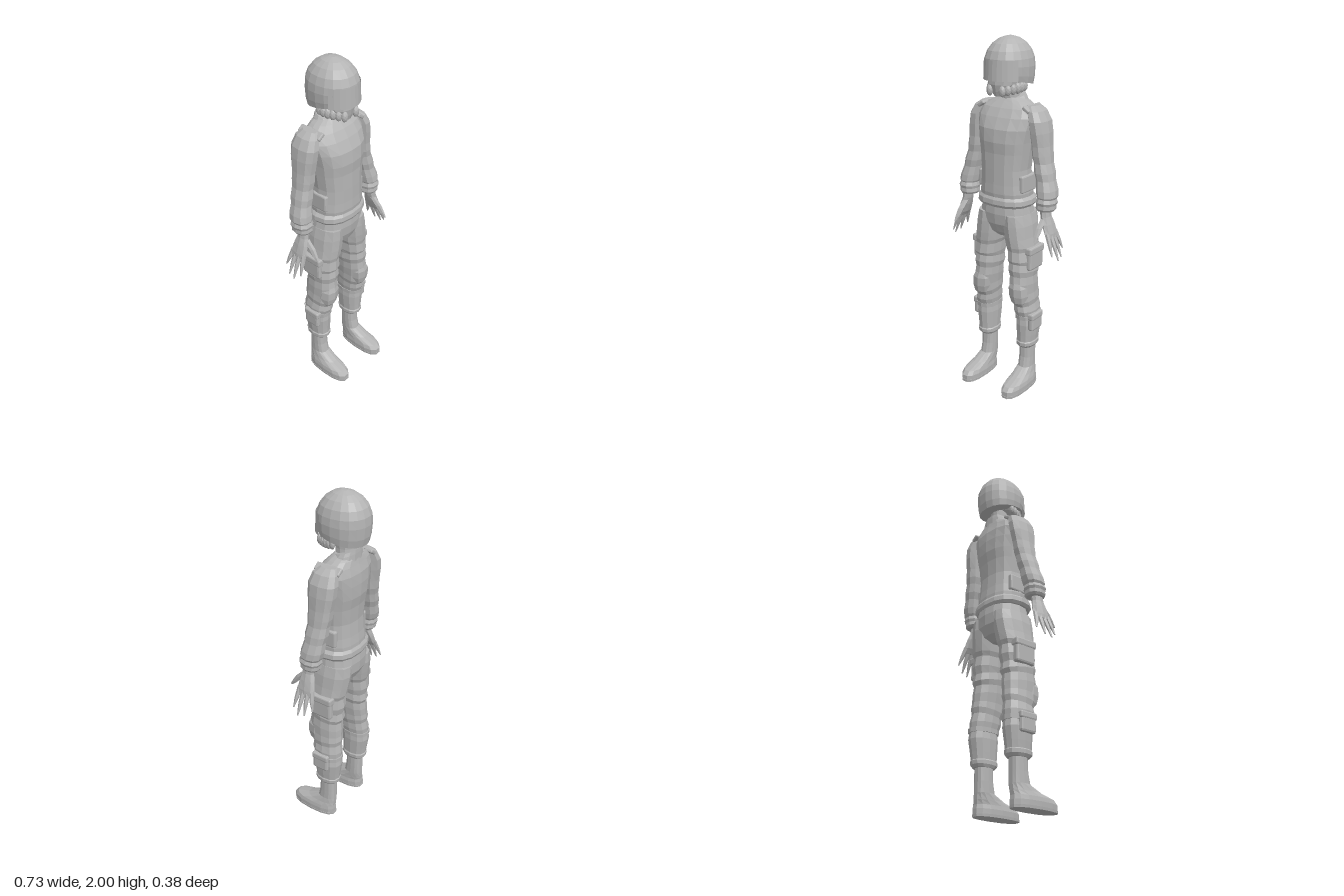
import * as THREE from 'three';
import { RoundedBoxGeometry } from 'three/addons/geometries/RoundedBoxGeometry.js';

const grey = new THREE.MeshStandardMaterial({ color: 0xb4b4b4, flatShading: true });
grey.name = 'plain grey';
const greyShell = new THREE.MeshStandardMaterial({ color: 0xb4b4b4, flatShading: true, side: THREE.DoubleSide });
greyShell.name = 'plain grey shell';

// Closed skin over horizontal rings: [y, centre x, centre z, half width, half depth, slope of ring towards z]
function loft(rings, sides = 12, square = 2.3) {
  const rows = [...rings].sort((a, b) => a[0] - b[0]);
  const pos = [], idx = [];
  const round = v => Math.sign(v) * Math.pow(Math.abs(v), 2 / square);
  for (const [y, x, z, rx, rz, slope = 0] of rows) {
    for (let j = 0; j < sides; j++) {
      const a = (j / sides) * Math.PI * 2;
      const dz = rz * round(Math.sin(a));
      pos.push(x + rx * round(Math.cos(a)), y + slope * dz, z + dz);
    }
  }
  const last = rows.length - 1;
  for (let i = 0; i < last; i++) {
    for (let j = 0; j < sides; j++) {
      const k = (j + 1) % sides, a = i * sides + j, b = i * sides + k;
      idx.push(a, a + sides, b + sides, a, b + sides, b);
    }
  }
  // end caps
  for (const [i, up] of [[0, false], [last, true]]) {
    const c = pos.length / 3, [y, x, z] = rows[i];
    pos.push(x, y, z);
    for (let j = 0; j < sides; j++) {
      const a = i * sides + j, b = i * sides + (j + 1) % sides;
      if (up) idx.push(c, b, a); else idx.push(c, a, b);
    }
  }
  const g = new THREE.BufferGeometry();
  g.setAttribute('position', new THREE.Float32BufferAttribute(pos, 3));
  g.setIndex(idx);
  const flat = g.toNonIndexed();
  flat.computeVertexNormals();
  return flat;
}

export function createModel() {
  const model = new THREE.Group();
  const add = (name, geometry, x = 0, y = 0, z = 0, material = grey) => {
    const m = new THREE.Mesh(geometry, material);
    m.name = name;
    m.position.set(x, y, z);
    model.add(m);
    return m;
  };

  // Jacket
  add('jacket', loft([
    [1.14, 0, -0.035, 0.145, 0.12], [1.18, 0, -0.032, 0.148, 0.122], [1.23, 0, -0.03, 0.142, 0.118],
    [1.31, 0, -0.028, 0.138, 0.115], [1.4, 0, -0.032, 0.148, 0.117], [1.46, 0, -0.035, 0.155, 0.125],
    [1.53, 0, -0.04, 0.168, 0.122], [1.59, 0, -0.052, 0.178, 0.106], [1.635, 0, -0.06, 0.165, 0.085],
    [1.665, 0, -0.07, 0.115, 0.068], [1.685, 0, -0.075, 0.07, 0.055]], 16, 2.4));
  add('jacketHem', loft([
    [1.105, 0, -0.035, 0.155, 0.125], [1.12, 0, -0.035, 0.166, 0.133], [1.145, 0, -0.035, 0.164, 0.131],
    [1.16, 0, -0.035, 0.148, 0.122]], 16, 2.4));
  add('collar', loft([
    [1.64, 0, -0.07, 0.105, 0.07, -0.25], [1.675, 0, -0.075, 0.088, 0.063, -0.3],
    [1.695, 0, -0.08, 0.075, 0.056, -0.3], [1.675, 0, -0.08, 0.065, 0.045, -0.3]].slice(0, 3), 14));

  // Hips
  add('hips', loft([
    [0.92, 0, -0.035, 0.04, 0.06], [0.95, 0, -0.04, 0.11, 0.095], [1.0, 0, -0.042, 0.155, 0.118],
    [1.06, 0, -0.04, 0.152, 0.124], [1.13, 0, -0.038, 0.14, 0.118]], 16));

  // Head, neck and helmet
  add('neck', loft([[1.64, 0, -0.07, 0.055, 0.052], [1.71, 0, -0.062, 0.05, 0.05], [1.79, 0, -0.05, 0.056, 0.06]]));
  add('face', loft([
    [1.7, 0, 0.03, 0.028, 0.03], [1.725, 0, 0.012, 0.058, 0.056], [1.76, 0, -0.01, 0.085, 0.085],
    [1.82, 0, -0.03, 0.1, 0.1]]));
  add('helmet', loft([
    [1.766, 0, -0.053, 0.117, 0.127, 0.19], [1.8, 0, -0.053, 0.123, 0.137, 0.12],
    [1.85, 0, -0.053, 0.125, 0.142, 0.04], [1.89, 0, -0.053, 0.12, 0.139],
    [1.93, 0, -0.053, 0.106, 0.124], [1.965, 0, -0.053, 0.08, 0.096],
    [1.988, 0, -0.053, 0.05, 0.06], [2.0, 0, -0.053, 0.014, 0.018]], 18, 2.2));
  const visor = add('visor', new THREE.CylinderGeometry(0.97, 1, 0.105, 10, 2, true, -1.05, 2.1), 0, 1.835, -0.053, greyShell);
  visor.scale.set(0.13, 1, 0.152);

  for (const s of [1, -1]) {
    const part = (name, rings, sides, square) =>
      add(name, loft(rings.map(([y, x, ...r]) => [y, x * s, ...r]), sides, square));

    // Ribbed rolls along the jaw
    for (let i = 0; i < 6; i++) {
      const t = i / 5;
      const roll = add('jawRoll', new THREE.IcosahedronGeometry(0.021, 1),
        s * (0.04 + 0.058 * Math.sin(t * 1.6)), 1.73 + 0.022 * t, 0.066 - 0.115 * t);
      roll.scale.set(0.9, 1.4, 0.75);
      roll.rotation.y = s * t * 1.2;
    }

    // Shoulder strap
    const strap = add('shoulderStrap', new RoundedBoxGeometry(0.045, 0.02, 0.15, 1, 0.006), s * 0.148, 1.638, -0.062);
    strap.rotation.z = -s * 0.6;

    // Sleeve with folds, then the cuff
    part('sleeve', [
      [1.655, 0.15, -0.065, 0.025, 0.045], [1.63, 0.172, -0.063, 0.04, 0.07], [1.58, 0.193, -0.062, 0.047, 0.083],
      [1.52, 0.203, -0.062, 0.048, 0.08], [1.45, 0.21, -0.06, 0.047, 0.07], [1.4, 0.216, -0.058, 0.049, 0.068],
      [1.36, 0.224, -0.056, 0.046, 0.061], [1.31, 0.236, -0.052, 0.051, 0.064], [1.27, 0.246, -0.048, 0.048, 0.058],
      [1.22, 0.258, -0.042, 0.054, 0.064], [1.185, 0.264, -0.036, 0.053, 0.062], [1.165, 0.264, -0.034, 0.043, 0.052]], 10);
    part('sleeveCuff', [
      [1.175, 0.263, -0.033, 0.047, 0.056, 0.05], [1.155, 0.264, -0.031, 0.055, 0.063, 0.05],
      [1.14, 0.263, -0.03, 0.05, 0.057, 0.05], [1.12, 0.262, -0.029, 0.052, 0.058, 0.05],
      [1.108, 0.262, -0.028, 0.044, 0.05, 0.05]], 10);

    // Hand: palm, four fingers and thumb
    part('palm', [
      [1.13, 0.262, -0.02, 0.026, 0.034], [1.08, 0.27, -0.018, 0.024, 0.036], [1.04, 0.283, -0.02, 0.024, 0.047],
      [0.99, 0.3, -0.023, 0.02, 0.053], [0.965, 0.31, -0.025, 0.013, 0.05]], 8);
    const tips = [[0.015, 0.345, 0.03, 0.875], [-0.012, 0.362, -0.008, 0.845],
      [-0.038, 0.355, -0.047, 0.855], [-0.06, 0.335, -0.088, 0.89]];
    for (const [z, tx, tz, ty] of tips) {
      const mid = (0.985 + ty) / 2;
      part('finger', [
        [0.995, 0.3, z, 0.014, 0.015], [mid, (0.307 + tx) / 2, (z + tz) / 2, 0.011, 0.012],
        [ty, tx, tz, 0.003, 0.004]], 6, 2);
    }
    part('thumb', [
      [1.07, 0.268, 0.0, 0.016, 0.022], [1.03, 0.27, 0.04, 0.016, 0.024], [0.99, 0.273, 0.07, 0.012, 0.017],
      [0.962, 0.275, 0.092, 0.005, 0.008]], 6, 2);

    // Jacket side pocket
    add('jacketPocket', new RoundedBoxGeometry(0.03, 0.095, 0.13, 1, 0.008), s * 0.134, 1.235, -0.035);

    // Trouser leg with folds, then the gathered hem
    part('trouserLeg', [
      [1.06, 0.085, -0.04, 0.068, 0.118], [1.0, 0.09, -0.04, 0.078, 0.12], [0.93, 0.099, -0.036, 0.077, 0.114],
      [0.88, 0.107, -0.034, 0.078, 0.108], [0.855, 0.109, -0.032, 0.069, 0.1], [0.8, 0.115, -0.032, 0.073, 0.106],
      [0.77, 0.116, -0.03, 0.066, 0.097, 0.15], [0.73, 0.118, -0.03, 0.071, 0.104, 0.15],
      [0.7, 0.12, -0.028, 0.064, 0.094, 0.1], [0.655, 0.123, -0.028, 0.066, 0.1, 0.1],
      [0.6, 0.127, -0.032, 0.062, 0.096], [0.56, 0.13, -0.036, 0.064, 0.096, -0.1],
      [0.53, 0.132, -0.04, 0.058, 0.085, -0.1], [0.49, 0.137, -0.044, 0.063, 0.091],
      [0.44, 0.14, -0.052, 0.057, 0.08], [0.4, 0.141, -0.053, 0.061, 0.084],
      [0.33, 0.14, -0.05, 0.056, 0.076], [0.285, 0.139, -0.048, 0.052, 0.072]], 12);
    part('trouserHem', [
      [0.295, 0.139, -0.048, 0.05, 0.069], [0.285, 0.139, -0.048, 0.057, 0.077],
      [0.265, 0.139, -0.048, 0.056, 0.075], [0.25, 0.138, -0.049, 0.047, 0.062]], 12);

    // Knee pad
    part('kneePad', [
      [0.67, 0.125, 0.025, 0.04, 0.046], [0.64, 0.127, 0.022, 0.055, 0.058], [0.59, 0.13, 0.02, 0.055, 0.058],
      [0.55, 0.132, 0.018, 0.046, 0.05], [0.52, 0.134, 0.008, 0.03, 0.036]], 8, 2.6);

    // Cargo pockets, each a pouch with a flap and a strap round the leg
    add('thighPocket', new RoundedBoxGeometry(0.042, 0.125, 0.125, 1, 0.012), s * 0.18, 0.808, -0.04);
    add('thighPocketFlap', new RoundedBoxGeometry(0.05, 0.042, 0.135, 1, 0.008), s * 0.18, 0.86, -0.04);
    add('calfPocket', new RoundedBoxGeometry(0.036, 0.105, 0.1, 1, 0.012), s * 0.195, 0.422, -0.038);
    add('calfPocketFlap', new RoundedBoxGeometry(0.042, 0.038, 0.106, 1, 0.008), s * 0.195, 0.458, -0.038);
    part('calfStrap', [[0.435, 0.14, -0.052, 0.063, 0.087], [0.46, 0.14, -0.051, 0.064, 0.088]], 12);

    // Boot
    part('boot', [
      [0.012, 0.147, 0.045, 0.056, 0.145], [0.04, 0.147, 0.045, 0.057, 0.145], [0.062, 0.147, 0.036, 0.053, 0.133],
      [0.085, 0.143, -0.005, 0.047, 0.093], [0.12, 0.139, -0.042, 0.042, 0.056], [0.18, 0.138, -0.048, 0.042, 0.049],
      [0.27, 0.138, -0.05, 0.043, 0.046]], 14, 2.5);
    part('bootSole', [[0, 0.147, 0.045, 0.056, 0.146], [0.014, 0.147, 0.045, 0.058, 0.147]], 14, 2.5);
  }
  return model;
}
